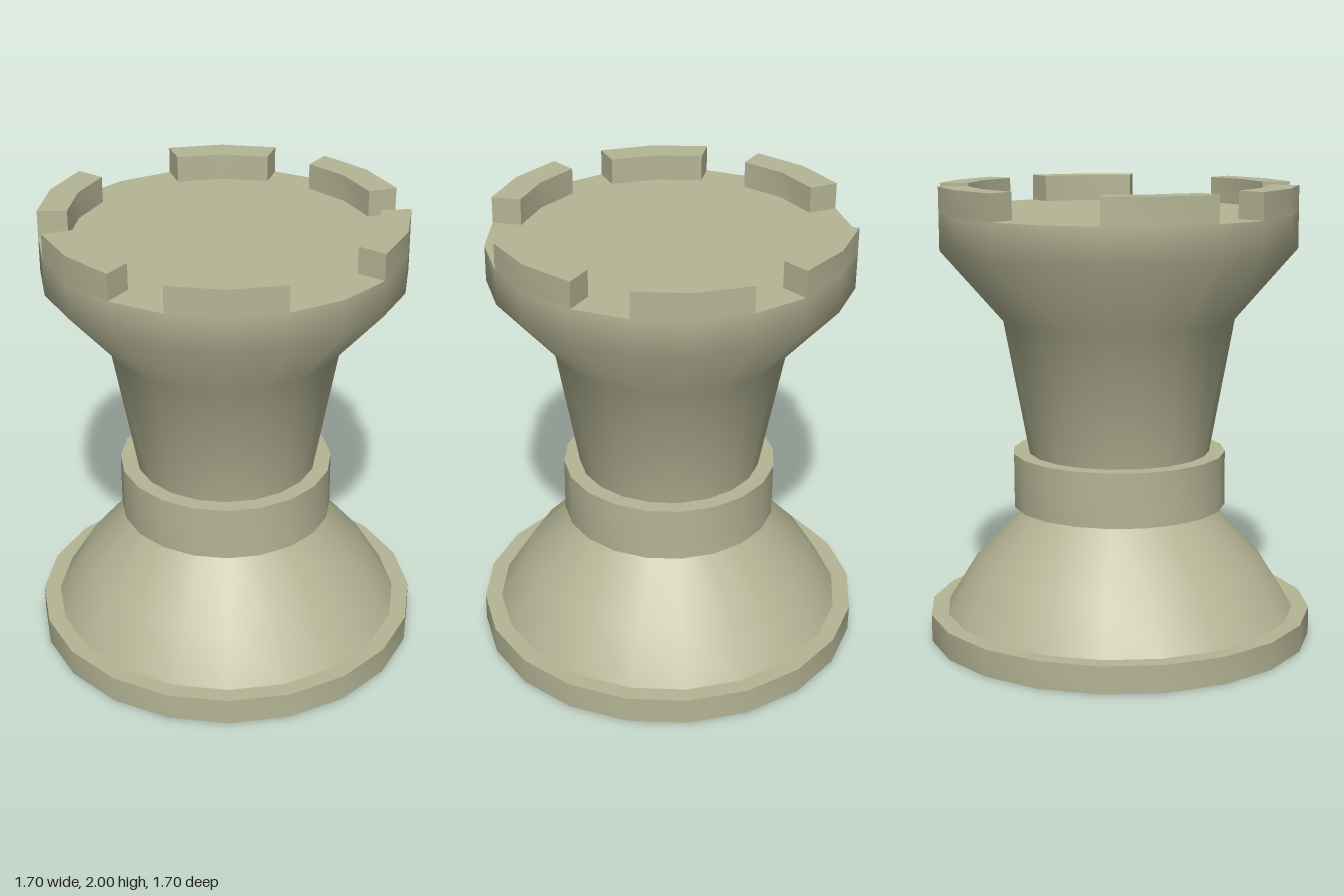
import * as THREE from 'three';
import { toCreasedNormals } from 'three/addons/utils/BufferGeometryUtils.js';

const SIDES = 20;
const STEP = (Math.PI * 2) / SIDES;
const LEAN = -0.0085; // slight backward drift with height

export function createModel() {
  const group = new THREE.Group();
  const material = new THREE.MeshStandardMaterial({ color: 0xb5b596 });

  function addPart(name, geometry) {
    const pos = geometry.attributes.position;
    for (let i = 0; i < pos.count; i++) pos.setZ(i, pos.getZ(i) + LEAN * pos.getY(i));
    const mesh = new THREE.Mesh(toCreasedNormals(geometry, 0.87), material);
    mesh.name = name;
    group.add(mesh);
  }

  // Turned part: [radius, height] pairs from bottom to top
  function addTurned(name, profile) {
    const points = profile.map(([r, y]) => new THREE.Vector2(r, y));
    addPart(name, new THREE.LatheGeometry(points, SIDES));
  }

  addTurned('basePlate', [[0, 0], [0.85, 0], [0.85, 0.12], [0, 0.12]]);
  addTurned('foot', [[0.775, 0.12], [0.645, 0.33], [0.4, 0.59]]);
  addTurned('collar', [[0, 0.59], [0.47, 0.59], [0.47, 0.83], [0, 0.83]]);
  addTurned('tower', [[0.4, 0.83], [0.508, 1.42], [0.776, 1.73], [0.776, 1.885], [0, 1.885]]);

  // Battlements: each spans two sides, with wider gaps at front and back
  const outer = 0.776, inner = 0.65;
  [0, 3, 7, 10, 13, 17].forEach((slot) => {
    const corner = (r, k) => new THREE.Vector2(r * Math.cos((slot + k) * STEP), r * Math.sin((slot + k) * STEP));
    const shape = new THREE.Shape([
      corner(outer, -1), corner(outer, 0), corner(outer, 1),
      corner(inner, 1), corner(inner, 0), corner(inner, -1),
    ]);
    const geometry = new THREE.ExtrudeGeometry(shape, { depth: 0.115, bevelEnabled: false });
    geometry.rotateX(-Math.PI / 2).translate(0, 1.885, 0);
    addPart('battlement', geometry);
  });

  return group;
}
